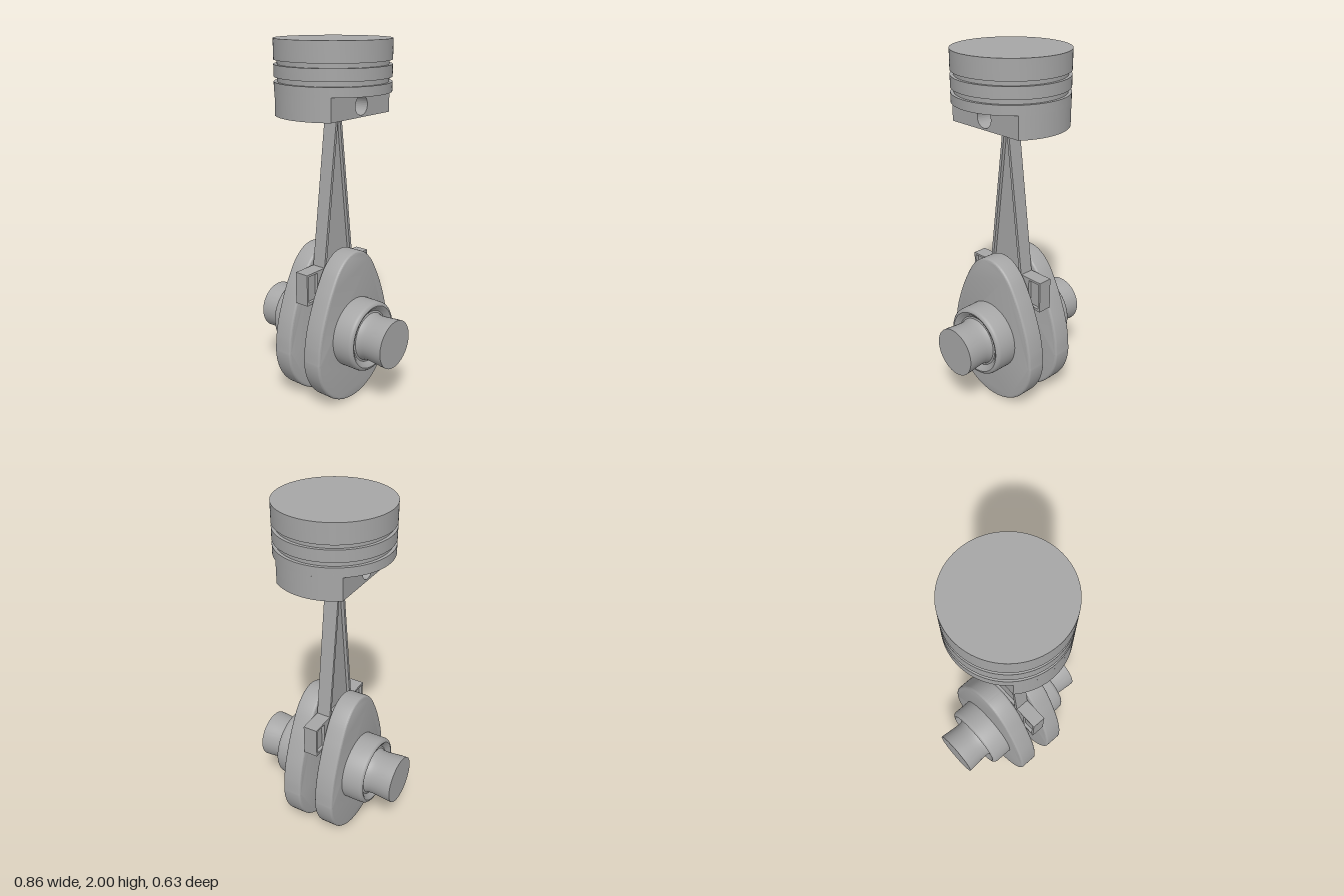
import * as THREE from 'three';
import { toCreasedNormals } from 'three/addons/utils/BufferGeometryUtils.js';

const steel = new THREE.MeshStandardMaterial({ color: 0xa6a6a6 });
steel.name = 'steel grey';

const vectors = (list) => list.map(([x, y]) => new THREE.Vector2(x, y));

function addMesh(parent, name, geometry) {
  const mesh = new THREE.Mesh(toCreasedNormals(geometry, 0.6), steel);
  mesh.name = name;
  parent.add(mesh);
  return mesh;
}

// Extrudes a side outline (z, y) along x, starting at x0
function extrudeX(shape, x0, depth, bevel = 0) {
  const g = new THREE.ExtrudeGeometry(shape, {
    depth: depth - 2 * bevel, curveSegments: 48, bevelEnabled: bevel > 0,
    bevelThickness: bevel, bevelSize: bevel, bevelOffset: -bevel, bevelSegments: 4,
  });
  return g.translate(0, 0, bevel).rotateY(Math.PI / 2).translate(x0, 0, 0);
}

function circleHole(y, r) {
  return new THREE.Path().absarc(0, y, r, 0, Math.PI * 2, true);
}

const PIN_Y = 1.675, PIN_R = 0.05, R = 0.305;

function createPiston() {
  const piston = new THREE.Group();
  piston.name = 'piston';
  // Crown with two ring grooves
  const profile = vectors([
    [0, 1.735], [R, 1.735], [R, 1.785], [0.288, 1.785], [0.288, 1.81], [R, 1.81],
    [R, 1.872], [0.288, 1.872], [0.288, 1.895], [R, 1.895], [R, 2], [0, 2],
  ]);
  addMesh(piston, 'crown', new THREE.LatheGeometry(profile, 96));

  // Skirt: two curved ends and two drilled cheeks around a central pocket
  const half = 0.185, pocketX = 0.08, pocketZ = 0.12, bottom = 1.615, top = 1.735;
  const a = Math.acos(half / R);
  const end = new THREE.Shape();
  end.moveTo(-half, pocketZ);
  end.lineTo(half, pocketZ);
  end.absarc(0, 0, R, a, Math.PI - a, false);
  end.closePath();
  const cheek = new THREE.Shape(vectors([
    [-pocketZ, bottom], [pocketZ, bottom], [pocketZ, top], [-pocketZ, top],
  ]));
  cheek.holes.push(circleHole(PIN_Y, PIN_R));
  for (const turn of [0, Math.PI]) {
    const endGeometry = new THREE.ExtrudeGeometry(end, {
      depth: top - bottom, bevelEnabled: false, curveSegments: 32,
    }).rotateX(Math.PI / 2).translate(0, top, 0);
    addMesh(piston, 'skirtEnd', endGeometry).rotation.y = turn;
    addMesh(piston, 'pinCheek', extrudeX(cheek, pocketX, half - pocketX)).rotation.y = turn;
  }
  return piston;
}

function createRod() {
  const rod = new THREE.Group();
  rod.name = 'connectingRod';
  // Outline with bolt lugs and a half-round bearing seat
  const outline = () => {
    const s = new THREE.Shape();
    s.moveTo(0.16, 0.62);
    for (const [z, y] of [[0.265, 0.62], [0.265, 0.797], [0.122, 0.797], [0.02, 1.61],
      [-0.02, 1.61], [-0.122, 0.797], [-0.265, 0.797], [-0.265, 0.62], [-0.16, 0.62]]) s.lineTo(z, y);
    s.absarc(0, 0.62, 0.16, Math.PI, 0, true);
    return s;
  };
  const flanges = outline();
  flanges.holes.push(new THREE.Path(vectors([
    [-0.103, 0.815], [-0.008, 1.585], [0.008, 1.585], [0.103, 0.815],
  ])));
  for (const s of [-1, 1]) {
    flanges.holes.push(new THREE.Path(vectors([
      [s * 0.18, 0.635], [s * 0.252, 0.635], [s * 0.252, 0.785], [s * 0.18, 0.785],
    ])));
  }
  addMesh(rod, 'rodFlanges', extrudeX(flanges, -0.04, 0.08));
  addMesh(rod, 'rodWeb', extrudeX(outline(), -0.022, 0.044));

  // Small end around the piston pin bore
  const eye = new THREE.Shape().absarc(0, PIN_Y, 0.075, 0, Math.PI * 2, false);
  eye.holes.push(circleHole(PIN_Y, PIN_R));
  addMesh(rod, 'smallEnd', extrudeX(eye, -0.04, 0.08));
  return rod;
}

function createCrankHalf() {
  const half = new THREE.Group();
  half.name = 'crankHalf';
  // Egg-shaped counterweight: round below, tapering to a blunt top
  const side = [[0.315, 0.32], [0.307, 0.41], [0.285, 0.51], [0.245, 0.62], [0.203, 0.71],
    [0.145, 0.805], [0.075, 0.865], [0, 0.885]];
  const spline = [...side, ...side.slice(0, -1).reverse().map(([z, y]) => [-z, y])];
  const egg = new THREE.Shape();
  egg.moveTo(0.315, 0.32);
  egg.splineThru(vectors(spline.slice(1)));
  egg.absarc(0, 0.32, 0.315, Math.PI, Math.PI * 2, false);
  addMesh(half, 'counterweight', extrudeX(egg, 0.048, 0.114, 0.014));

  // Hub with dished face and waisted shaft stub
  const profile = vectors([
    [0, 0.155], [0.198, 0.155], [0.198, 0.262], [0.195, 0.274], [0.188, 0.282], [0.177, 0.285],
    [0.166, 0.281], [0.156, 0.27], [0.145, 0.263], [0.135, 0.266], [0.129, 0.28],
    [0.127, 0.305], [0.129, 0.335], [0.132, 0.37], [0.135, 0.4], [0.136, 0.428], [0, 0.428],
  ]);
  const hub = new THREE.LatheGeometry(profile, 72).rotateZ(-Math.PI / 2).translate(0, 0.415, 0);
  addMesh(half, 'hubAndShaft', hub);
  return half;
}

export function createModel() {
  const model = new THREE.Group();
  model.name = 'pistonAndCrank';
  model.add(createPiston(), createRod());
  for (const turn of [0, Math.PI]) {
    const half = createCrankHalf();
    half.rotation.y = turn;
    model.add(half);
  }
  return model;
}
